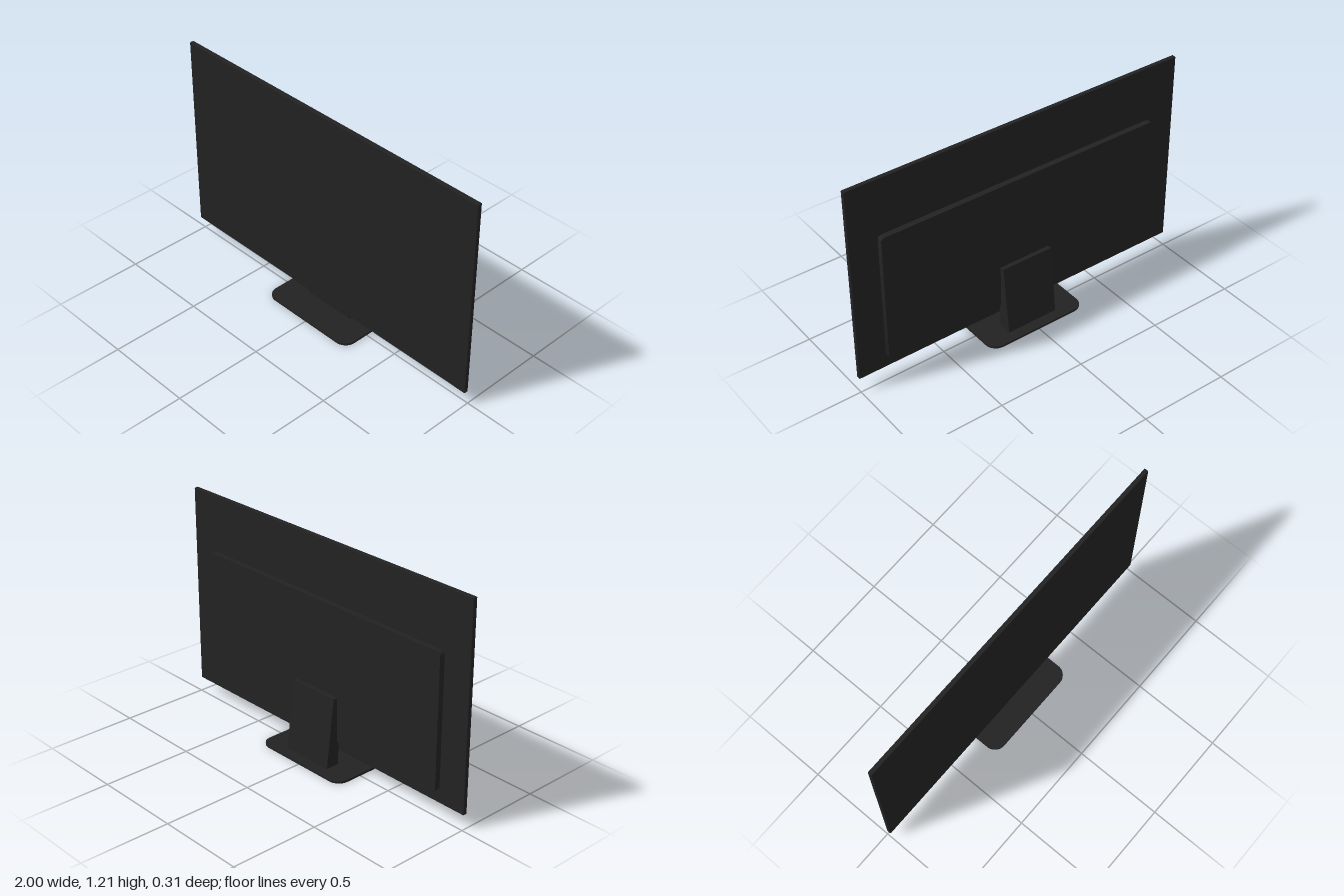
import * as THREE from 'three';
import { RoundedBoxGeometry } from 'three/addons/geometries/RoundedBoxGeometry.js';
import { toCreasedNormals } from 'three/addons/utils/BufferGeometryUtils.js';

// Rectangle with rounded corners, extruded and centred on the origin along z
function roundedSlab(width, height, depth, radius) {
  const x = width / 2, y = height / 2, r = radius;
  const shape = new THREE.Shape();
  shape.absarc(x - r, y - r, r, 0, Math.PI / 2);
  shape.absarc(-x + r, y - r, r, Math.PI / 2, Math.PI);
  shape.absarc(-x + r, -y + r, r, Math.PI, Math.PI * 1.5);
  shape.absarc(x - r, -y + r, r, Math.PI * 1.5, Math.PI * 2);
  const geometry = new THREE.ExtrudeGeometry(shape, { depth, bevelEnabled: false, curveSegments: 8 });
  geometry.translate(0, 0, -depth / 2);
  return toCreasedNormals(geometry, 0.6);
}

export function createModel() {
  const model = new THREE.Group();
  model.name = 'television';

  const blackPlastic = new THREE.MeshStandardMaterial({ color: 0x222222 });
  blackPlastic.name = 'black plastic';

  const add = (name, geometry, x = 0, y = 0, z = 0) => {
    const mesh = new THREE.Mesh(geometry, blackPlastic);
    mesh.name = name;
    mesh.position.set(x, y, z);
    model.add(mesh);
  };

  // Thin screen with slightly softened edges
  add('screenPanel', new RoundedBoxGeometry(2, 1.13, 0.024, 2, 0.004), 0, 0.646, 0.017);

  // Raised electronics housing on the back
  add('rearHousing', roundedSlab(1.68, 0.745, 0.032, 0.022), 0, 0.522, -0.01);

  // Wedge-shaped neck: upright front, sloping back
  const profile = new THREE.Shape([
    [-0.016, 0.008], [-0.016, 0.398], [-0.05, 0.398], [-0.096, 0.008],
  ].map(([z, y]) => new THREE.Vector2(z, y)));
  const neck = new THREE.ExtrudeGeometry(profile, { depth: 0.304, bevelEnabled: false });
  neck.translate(0, 0, -0.152);
  neck.rotateY(-Math.PI / 2);
  add('standNeck', neck);

  // Flat foot with rounded corners
  const foot = roundedSlab(0.6, 0.31, 0.012, 0.065);
  foot.rotateX(-Math.PI / 2);
  add('standBase', foot, 0, 0.006, 0);

  return model;
}
